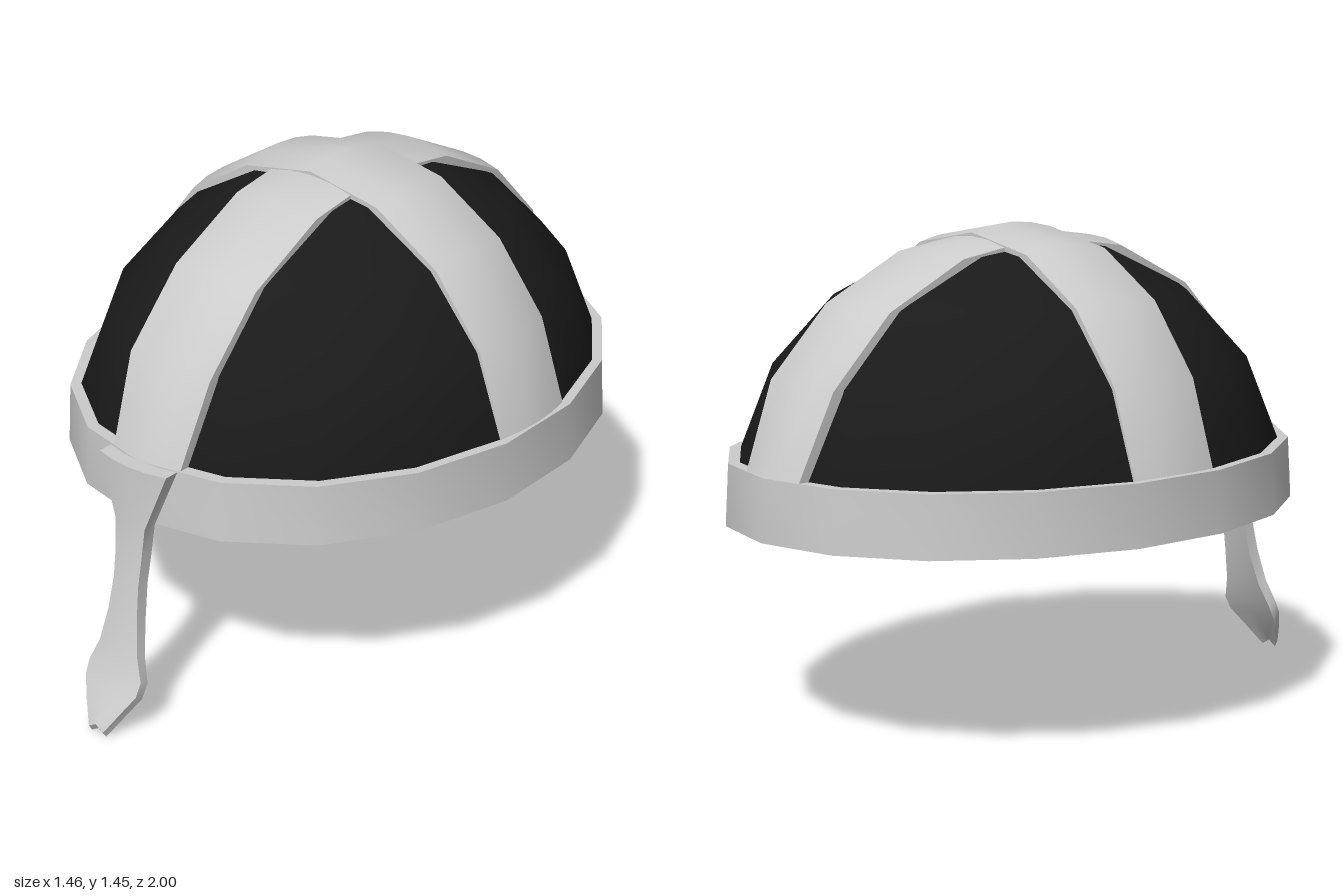
import * as THREE from 'three';
import { toCreasedNormals } from 'three/addons/utils/BufferGeometryUtils.js';

const SEG = 18;                 // sides of the helmet
const CY = 0.675, CZ = -0.105;  // centre of the dome
const STEP = Math.PI / 9;       // 20 degrees

const steel = new THREE.MeshStandardMaterial({ color: 0xcccccc });
const black = new THREE.MeshStandardMaterial({ color: 0x1a1a1a, side: THREE.DoubleSide });

// Skin over rows of points; closed rows also get end caps
function loft(rows, closed) {
  const m = rows[0].length, index = [];
  for (let i = 0; i < rows.length - 1; i++) {
    for (let j = 0; j < (closed ? m : m - 1); j++) {
      const a = i * m + j, b = i * m + (j + 1) % m;
      index.push(a, a + m, b, b, a + m, b + m);
    }
  }
  if (closed) {
    const e = (rows.length - 1) * m;
    for (let j = 0; j < m / 2 - 1; j++) {
      const [p, q, r, s] = [j, j + 1, m - 2 - j, m - 1 - j];
      index.push(p, q, r, p, r, s, e + p, e + r, e + q, e + p, e + s, e + r);
    }
  }
  const g = new THREE.BufferGeometry();
  g.setAttribute('position', new THREE.Float32BufferAttribute(rows.flat(2), 3));
  g.setIndex(index);
  return toCreasedNormals(g, 0.7);
}

function add(parent, name, geometry, material) {
  const mesh = new THREE.Mesh(geometry, material);
  mesh.name = name;
  parent.add(mesh);
  return mesh;
}

// Strap arching over the dome, with short side walls down to it.
// place(along, up, across) turns strap coordinates into a point.
function strap(radius, height, halfWidth, place) {
  const rows = [];
  for (let k = -4; k <= 4; k++) {
    const w = halfWidth(Math.abs(k));
    const point = (u, scale) => {
      const s = scale * (1 - 0.028 * u * u);
      return place(radius * s * Math.sin(k * STEP), CY + height * s * Math.cos(k * STEP), u * w);
    };
    const top = [-1, -0.5, 0, 0.5, 1].map(u => point(u, 1));
    rows.push([point(-1, 0.955), ...top, point(1, 0.955)]);
  }
  return loft(rows, false);
}

export function createModel() {
  const helmet = new THREE.Group();
  helmet.name = 'helmet';

  // Dome
  const dome = new THREE.SphereGeometry(1, SEG, 4, Math.PI / 2, Math.PI * 2, 0, 4 * STEP);
  dome.scale(0.715, 0.75, 0.865).translate(0, CY, CZ);
  add(helmet, 'dome', dome, black);

  // Rim ring
  const profile = [[0.741, 0.625], [0.732, 0.805], [0.7, 0.805], [0.712, 0.625], [0.741, 0.625]];
  const rim = new THREE.LatheGeometry(profile.map(p => new THREE.Vector2(...p)), SEG);
  rim.scale(1, 1, 1.213).translate(0, 0, CZ);
  add(helmet, 'rim', toCreasedNormals(rim, 0.7), steel);

  // Straps: one ear to ear, one front to back and narrowed at its ends
  add(helmet, 'crossStrap',
    strap(0.73, 0.78, () => 0.148, (a, y, c) => [a, y, CZ - c]), steel);
  add(helmet, 'lengthStrap',
    strap(0.895, 0.77, k => (k === 4 ? 0.125 : 0.148), (a, y, c) => [c, y, CZ + a]), steel);

  // Nose guard sections: y, half width, front z, thickness, drop of the back edge
  const sections = [
    [0.808, 0.125, 0.83, 0.045, 0],
    [0.625, 0.055, 0.833, 0.042, 0],
    [0.54, 0.05, 0.842, 0.04, 0.003],
    [0.45, 0.047, 0.857, 0.038, 0.006],
    [0.35, 0.055, 0.877, 0.036, 0.01],
    [0.25, 0.072, 0.902, 0.032, 0.012],
    [0.18, 0.1, 0.926, 0.028, 0.015],
    [0.14, 0.098, 0.945, 0.025, 0.017],
    [0.085, 0.065, 0.972, 0.02, 0.018],
    [0.025, 0.028, 1.0, 0.012, 0.02],
  ];
  const rows = sections.map(([y, w, z, t, drop], i) => {
    const notch = i === sections.length - 1 ? 0.018 : 0;
    const point = (u, back) => [
      u * w, y + notch * (1 - Math.abs(u)) - back * drop, z - back * t - 1.3 * (u * w) ** 2];
    return [...[-1, -0.5, 0, 0.5, 1].map(u => point(u, 0)),
      ...[1, 0.5, 0, -0.5, -1].map(u => point(u, 1))];
  });
  add(helmet, 'noseGuard', loft(rows, true), steel);

  return helmet;
}
